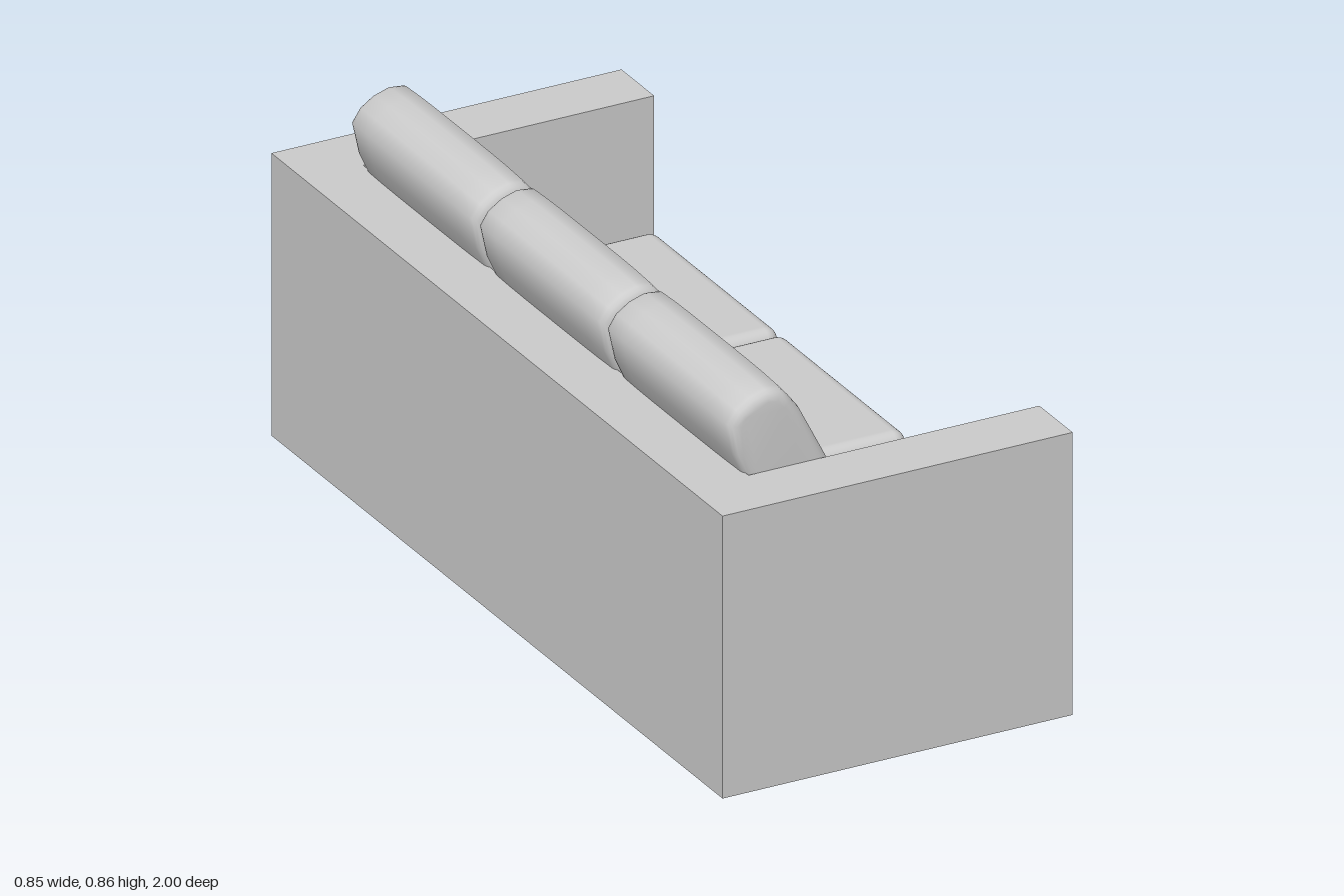
import * as THREE from 'three';
import { toCreasedNormals } from 'three/addons/utils/BufferGeometryUtils.js';
import { RoundedBoxGeometry } from 'three/addons/geometries/RoundedBoxGeometry.js';

const fabric = new THREE.MeshStandardMaterial({ color: 0xcccccc });
fabric.name = 'grey fabric';

const shapeFrom = (points) => new THREE.Shape(points.map(([x, y]) => new THREE.Vector2(x, y)));

function addMesh(parent, name, geometry, x = 0, y = 0, z = 0) {
  const mesh = new THREE.Mesh(geometry, fabric);
  mesh.name = name;
  mesh.position.set(x, y, z);
  parent.add(mesh);
}

// U-shaped plan of arms and back, raised to full height
function frameGeometry() {
  const plan = shapeFrom([
    [-0.423, -1], [0.423, -1], [0.423, -0.855], [-0.28, -0.855],
    [-0.28, 0.853], [0.423, 0.853], [0.423, 1], [-0.423, 1],
  ]);
  const geometry = new THREE.ExtrudeGeometry(plan, { depth: 0.667, bevelEnabled: false });
  return geometry.rotateX(Math.PI / 2).translate(0, 0.667, 0);
}

// Leaning pillow: side profile extruded along z, rounded and drawn in at the ends
function backCushionGeometry(width) {
  const profile = shapeFrom([
    [-0.06, 0.345], [-0.015, 0.362], [0.012, 0.395], [0.019, 0.425], [0.008, 0.465],
    [-0.035, 0.563], [-0.083, 0.667], [-0.147, 0.793], [-0.172, 0.826], [-0.197, 0.855],
    [-0.235, 0.859], [-0.273, 0.847], [-0.306, 0.825], [-0.327, 0.793], [-0.31, 0.715],
    [-0.285, 0.66], [-0.235, 0.54], [-0.165, 0.41], [-0.135, 0.368], [-0.1, 0.348],
  ]);
  const r = 0.025;
  const geometry = new THREE.ExtrudeGeometry(profile, {
    depth: width - 2 * r, steps: 8,
    bevelThickness: r, bevelSize: r, bevelOffset: -r, bevelSegments: 4,
  });
  geometry.translate(0, 0, r - width / 2);
  const p = geometry.attributes.position;
  const cx = -0.15, cy = 0.6;
  for (let i = 0; i < p.count; i++) {
    const s = 1 - 0.03 * Math.pow(Math.abs(p.getZ(i)) / (width / 2), 4);
    p.setXY(i, cx + (p.getX(i) - cx) * s, cy + (p.getY(i) - cy) * s);
  }
  return toCreasedNormals(geometry, 0.9);
}

export function createModel() {
  const sofa = new THREE.Group();
  sofa.name = 'sofa';

  addMesh(sofa, 'armsAndBack', frameGeometry());
  addMesh(sofa, 'base', new RoundedBoxGeometry(0.71, 0.17, 1.698, 3, 0.012), 0.065, 0.09, 0.003);

  // Three seats, each with a seat cushion and a back cushion
  const pitch = 0.567, width = 0.562;
  const seat = new RoundedBoxGeometry(0.7, 0.185, width, 4, 0.03);
  const back = backCushionGeometry(width);
  for (let i = -1; i <= 1; i++) {
    const z = 0.003 + i * pitch;
    addMesh(sofa, 'seatCushion', seat, 0.07, 0.269, z);
    addMesh(sofa, 'backCushion', back, 0, 0, z);
  }
  return sofa;
}
